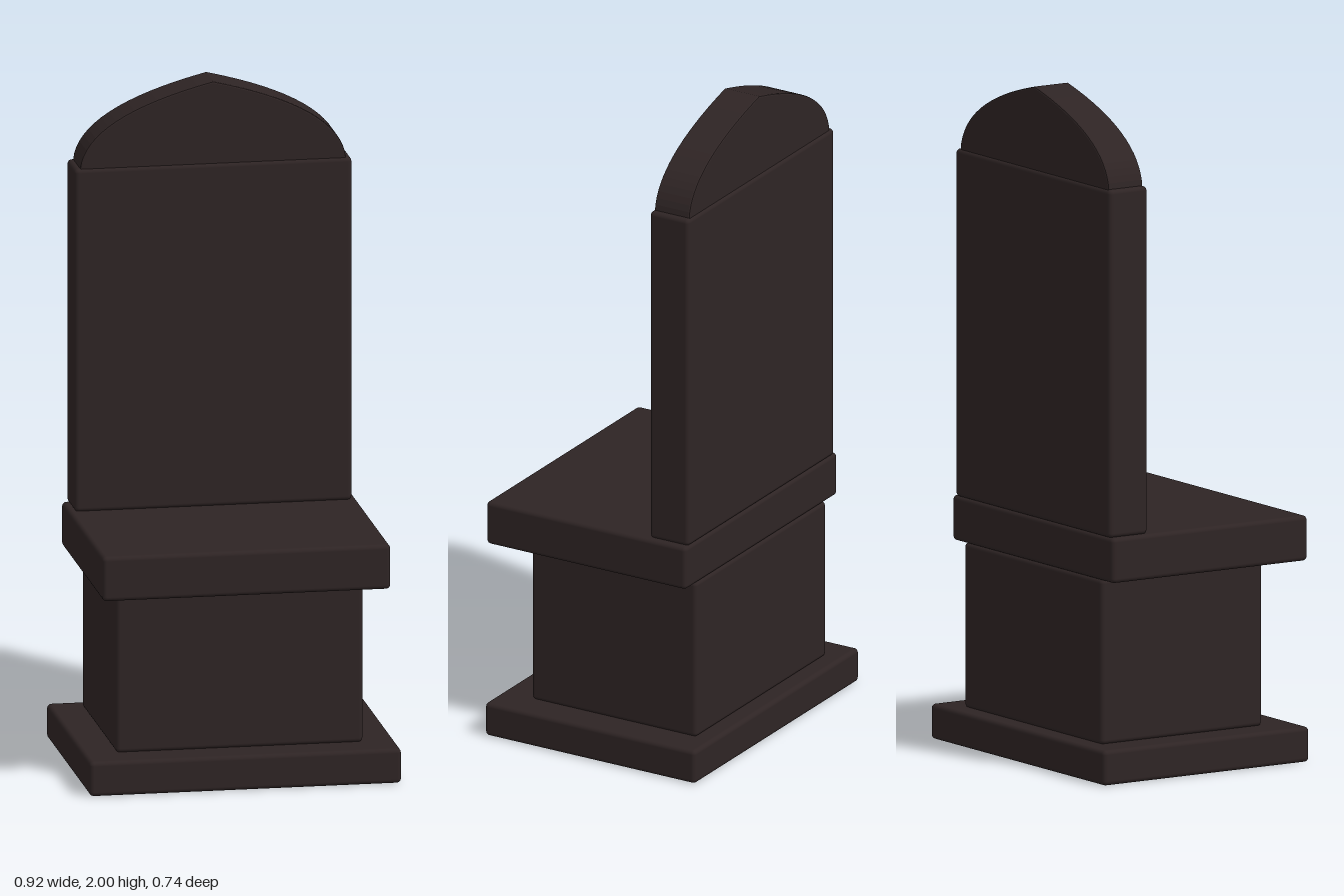
import * as THREE from 'three';
import { RoundedBoxGeometry } from 'three/addons/geometries/RoundedBoxGeometry.js';

export function createModel() {
  const group = new THREE.Group();
  const darkWood = new THREE.MeshStandardMaterial({ color: 0x2e2424 });
  darkWood.name = 'darkWood';

  // Softly edged block from half width, height range and depth range
  function block(name, halfWidth, y0, y1, z0, z1) {
    const geometry = new RoundedBoxGeometry(halfWidth * 2, y1 - y0, z1 - z0, 3, 0.013);
    const mesh = new THREE.Mesh(geometry, darkWood);
    mesh.name = name;
    mesh.position.set(0, (y0 + y1) / 2, (z0 + z1) / 2);
    group.add(mesh);
  }

  block('basePlinth', 0.462, 0, 0.104, -0.369, 0.35);
  block('pedestal', 0.366, 0.102, 0.592, -0.315, 0.248);
  block('seat', 0.427, 0.59, 0.724, -0.316, 0.367);
  block('backrest', 0.411, 0.722, 1.755, -0.316, -0.182);

  // Pointed arch crest on top of the backrest
  const bottom = 1.752;
  const bevel = 0.005;
  const arch = new THREE.Shape();
  arch.moveTo(-0.39, bottom);
  arch.lineTo(0.39, bottom);
  arch.quadraticCurveTo(0.375, 1.905, 0, 1.995);
  arch.quadraticCurveTo(-0.375, 1.905, -0.39, bottom);
  const crestGeometry = new THREE.ExtrudeGeometry(arch, {
    depth: 0.12 - 2 * bevel,
    bevelThickness: bevel,
    bevelSize: bevel,
    bevelSegments: 2,
    curveSegments: 16,
  });
  const crest = new THREE.Mesh(crestGeometry, darkWood);
  crest.name = 'archedCrest';
  crest.position.z = -0.309 + bevel;
  group.add(crest);

  return group;
}
